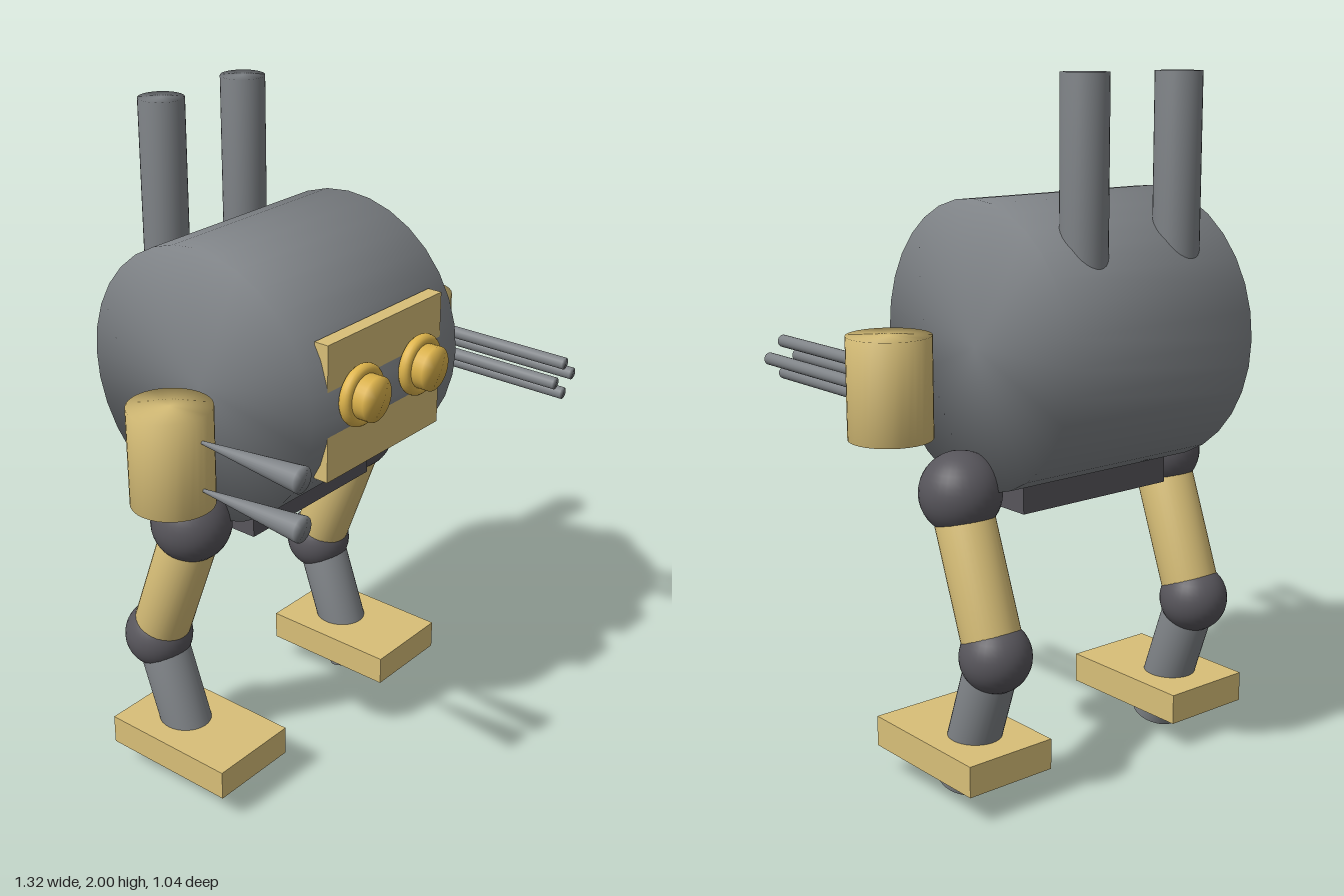
import * as THREE from 'three';
import { mergeVertices } from 'three/addons/utils/BufferGeometryUtils.js';

const mat = (color) => new THREE.MeshStandardMaterial({ color });

export function createModel() {
  const group = new THREE.Group();
  const steel = mat(0x7f8387);
  const dark = mat(0x57555b);
  const cream = mat(0xd8bf78);
  const amber = mat(0xdfb54c);

  const add = (name, geometry, material, x, y, z) => {
    const mesh = new THREE.Mesh(geometry, material);
    mesh.name = name;
    mesh.position.set(x, y, z);
    group.add(mesh);
    return mesh;
  };
  const box = (name, material, size, pos) =>
    add(name, new THREE.BoxGeometry(...size), material, ...pos);
  const ball = (name, r, x, y, z) =>
    add(name, new THREE.SphereGeometry(r, 32, 20), dark, x, y, z);

  // Cylinder between two points, its normals blended softly over the rims
  const rod = (name, material, from, to, r0, r1 = r0, sides = 32) => {
    const a = new THREE.Vector3(...from);
    const b = new THREE.Vector3(...to);
    let geometry = new THREE.CylinderGeometry(r1, r0, a.distanceTo(b), sides);
    geometry.deleteAttribute('normal');
    geometry.deleteAttribute('uv');
    geometry = mergeVertices(geometry);
    geometry.computeVertexNormals();
    const mid = a.clone().add(b).multiplyScalar(0.5);
    const mesh = add(name, geometry, material, mid.x, mid.y, mid.z);
    mesh.quaternion.setFromUnitVectors(new THREE.Vector3(0, 1, 0), b.sub(a).normalize());
    return mesh;
  };

  // Barrel body, hip block and face plate
  rod('body', steel, [-0.33, 1.27, -0.12], [0.33, 1.27, -0.12], 0.4);
  box('hipBlock', dark, [0.53, 0.12, 0.265], [0, 0.877, -0.117]);
  box('facePlate', cream, [0.51, 0.4, 0.045], [0, 1.27, 0.251]);

  for (const [side, s] of [['left', 1], ['right', -1]]) {
    // Chimney and eye
    rod(side + 'Chimney', steel, [s * 0.167, 1.4, -0.38], [s * 0.167, 2, -0.38], 0.065);
    add(side + 'EyeRing', new THREE.TorusGeometry(0.072, 0.018, 14, 36), amber, s * 0.133, 1.295, 0.294);
    rod(side + 'Eye', amber, [s * 0.133, 1.295, 0.25], [s * 0.133, 1.295, 0.345], 0.065);

    // Leg
    const x = s * 0.38;
    ball(side + 'Hip', 0.117, x, 0.872, -0.117);
    rod(side + 'Thigh', cream, [x, 0.872, -0.107], [x, 0.44, -0.267], 0.085);
    ball(side + 'Knee', 0.102, x, 0.44, -0.268);
    rod(side + 'Shin', steel, [x, 0.44, -0.262], [x, 0.029, -0.118], 0.076);
    box(side + 'Foot', cream, [0.285, 0.09, 0.44], [x, 0.135, -0.115]);

    // Floating arm drum
    rod(side + 'Arm', cream, [s * 0.543, 1.032, -0.025], [s * 0.543, 1.315, -0.025], 0.117);
  }

  // Four thin barrels on the left arm
  for (const [dx, dy] of [[1, 0], [-1, 0], [0, 1], [0, -1]]) {
    const x = 0.543 + dx * 0.047;
    const y = 1.176 + dy * 0.047;
    rod('leftBarrel', steel, [x, y, 0], [x, y, 0.52], 0.018, 0.018, 20);
  }
  // Two flared nozzles on the right arm
  for (const y of [1.105, 1.245]) {
    rod('rightNozzle', steel, [-0.545, y, 0.05], [-0.545, y, 0.425], 0.001, 0.037, 24);
  }
  return group;
}
